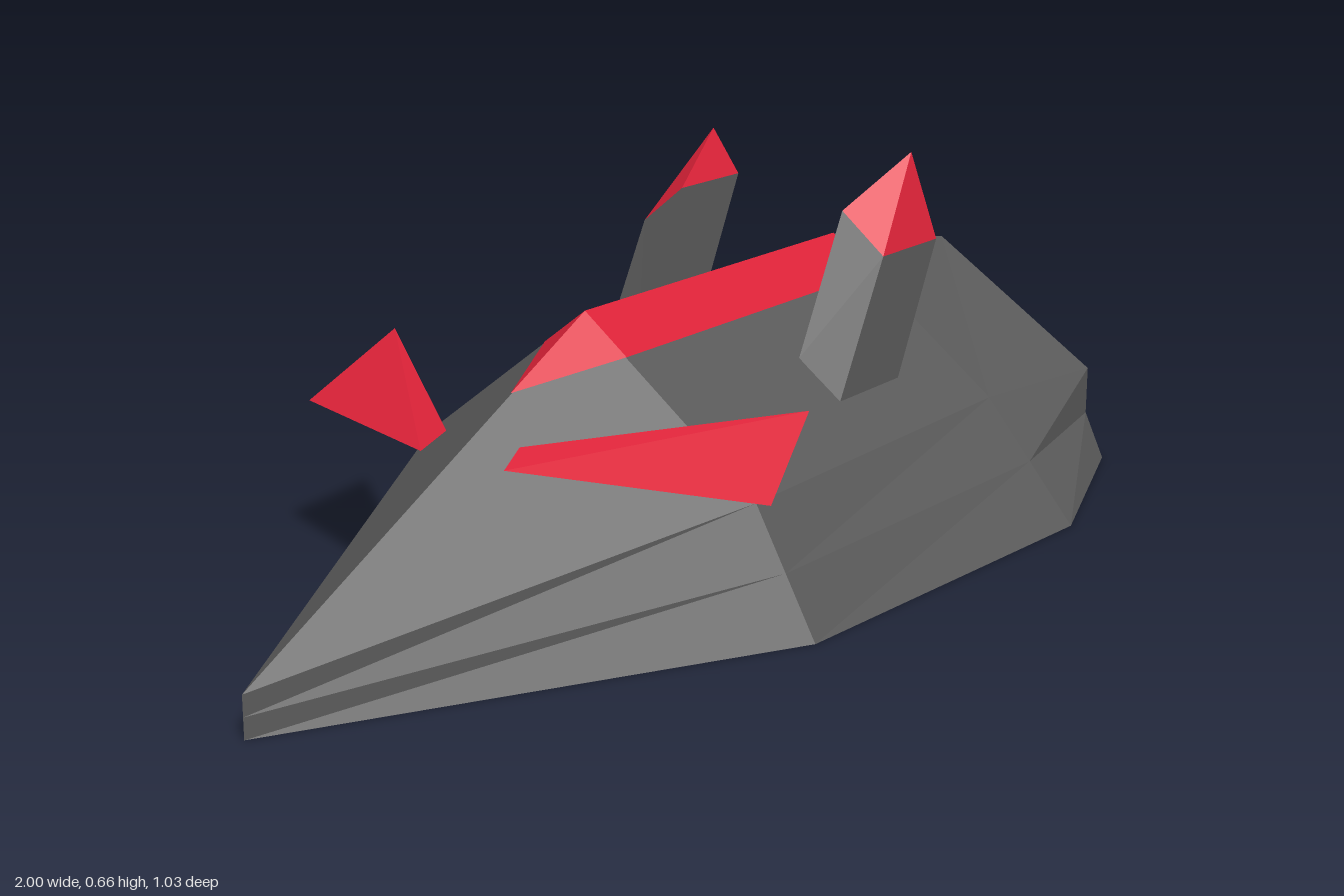
import * as THREE from 'three';

const grey = new THREE.MeshStandardMaterial({ color: 0x5a5a5a, flatShading: true, side: THREE.DoubleSide });
const red = new THREE.MeshStandardMaterial({ color: 0xdc2238, flatShading: true, side: THREE.DoubleSide });

// Flat-shaded mesh from polygons, each a list of [x, y, z] corners; side -1 mirrors it in z
function facets(name, polygons, material, side = 1) {
  const positions = [];
  for (const polygon of polygons) {
    for (let i = 1; i < polygon.length - 1; i++) {
      const tri = [polygon[0], polygon[i], polygon[i + 1]];
      if (side < 0) tri.reverse();
      for (const [x, y, z] of tri) positions.push(x, y, z * side);
    }
  }
  const geometry = new THREE.BufferGeometry();
  geometry.setAttribute('position', new THREE.Float32BufferAttribute(positions, 3));
  geometry.computeVertexNormals();
  const mesh = new THREE.Mesh(geometry, material);
  mesh.name = name;
  return mesh;
}

// Quads joining two closed rings of corners
function band(a, b) {
  return a.map((p, j) => {
    const k = (j + 1) % a.length;
    return [p, b[j], b[k], a[k]];
  });
}

function hull() {
  // Half sections at each x: [z, y] for lower edge, flank, shoulder, ridge
  const sections = [
    [-1, [[0, 0], [0, 0.035], [0, 0.07], [0, 0.07]]],
    [-0.21, [[0.455, 0], [0.3975, 0.105], [0.34, 0.21], [0, 0.47]]],
    [0.54, [[0.515, 0], [0.4275, 0.105], [0.34, 0.21], [0, 0.47]]],
    [0.945, [[0.375, 0], [0.335, 0.085], [0.335, 0.175], [0, 0.395]]],
  ];
  const rings = sections.map(([x, half]) => [
    ...half.map(([z, y]) => [x, y, z]),
    ...half.slice(0, 3).reverse().map(([z, y]) => [x, y, -z]),
  ]);
  const faces = [];
  for (let i = 0; i < rings.length - 1; i++) faces.push(...band(rings[i], rings[i + 1]));
  // Stern plate, fanned from the ridge
  const stern = rings[rings.length - 1];
  faces.push([...stern.slice(3), ...stern.slice(0, 3)].reverse());
  // Put the ridge corner first after reversing
  const plate = faces[faces.length - 1];
  plate.unshift(plate.pop());
  return facets('hull', faces, grey);
}

// Coloured strip lying along the ridge, just proud of the hull
function ridgeStripe(side) {
  const lift = 0.002;
  const tip = [-0.4, 0.374 + lift, 0];
  const front = [-0.21, 0.47 + lift, 0], frontEdge = [-0.21, 0.405 + lift, 0.085];
  const rear = [0.54, 0.47 + lift, 0], rearEdge = [0.54, 0.405 + lift, 0.085];
  return facets('ridgeStripe', [[tip, frontEdge, front], [front, frontEdge, rearEdge, rear]], red, side);
}

// Thin swept blade beside the nose
function wing(side) {
  return facets('wing', [[
    [-0.52, 0.295, 0.085], [-0.37, 0.276, 0.475], [-0.2, 0.375, 0.43], [-0.47, 0.318, 0.075],
  ]], red, side);
}

// Leaning post cut to the hull slope, with a pointed cap
function fin(side) {
  const inner = 0.172, outer = 0.257;
  const base = [[0.355, 0.275, outer], [0.355, 0.338, inner], [0.165, 0.338, inner], [0.165, 0.275, outer]];
  const top = [[0.475, 0.505, outer], [0.475, 0.575, inner], [0.295, 0.575, inner], [0.295, 0.505, outer]];
  const apex = [0.453, 0.66, 0.214];
  const posts = base.map((p, j) => [p, base[(j + 1) % 4], top[(j + 1) % 4], top[j]]);
  const cap = top.map((p, j) => [p, top[(j + 1) % 4], apex]);
  const group = new THREE.Group();
  group.name = 'fin';
  group.add(facets('finPost', [...posts, [...base].reverse()], grey, side), facets('finCap', cap, red, side));
  return group;
}

export function createModel() {
  const model = new THREE.Group();
  model.name = 'speeder';
  model.add(hull());
  for (const side of [1, -1]) model.add(ridgeStripe(side), wing(side), fin(side));

  // Engine block on the stern
  const engine = new THREE.Mesh(new THREE.BoxGeometry(0.055, 0.174, 0.2), red);
  engine.name = 'engine';
  engine.position.set(0.9725, 0.087, 0);
  model.add(engine);
  return model;
}
